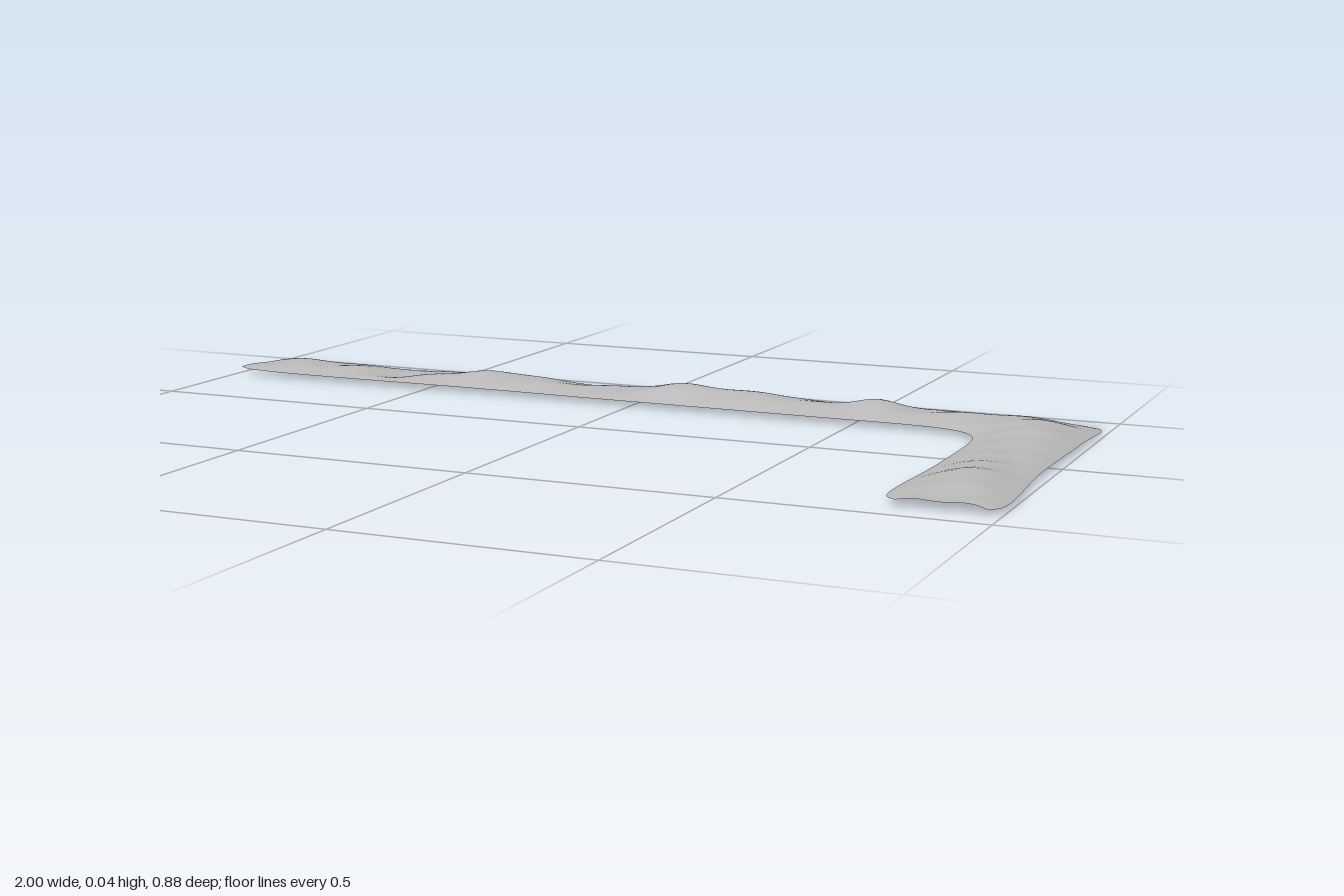
import * as THREE from 'three';

// Outline of the L: [outer x, outer z, inner x, inner z]
const OUTLINE = [
  [-0.945, -0.425, -1, -0.285], [-0.925, -0.442, -0.965, -0.262],
  [-0.75, -0.434, -0.75, -0.257], [-0.4, -0.438, -0.4, -0.262],
  [0, -0.434, 0, -0.257], [0.4, -0.432, 0.4, -0.253],
  [0.72, -0.435, 0.645, -0.25], [0.86, -0.435, 0.71, -0.238],
  [0.965, -0.431, 0.755, -0.212], [0.982, -0.41, 0.778, -0.175],
  [0.986, -0.2, 0.786, -0.12], [0.982, 0.1, 0.788, 0.1],
  [0.992, 0.41, 0.786, 0.41], [0.975, 0.436, 0.81, 0.436],
];

// Swells and hollows of the raised middle: [x, z, height, radius]
const SWELLS = [
  [-0.97, -0.35, -0.01, 0.06], [-0.61, -0.35, -0.014, 0.07],
  [-0.36, -0.35, 0.01, 0.1], [0.1, -0.35, 0.019, 0.1],
  [0.28, -0.35, 0.01, 0.07], [0.52, -0.35, 0.015, 0.06],
  [0.88, -0.25, 0.01, 0.15], [0.88, 0.24, 0.009, 0.1],
  [0.88, 0.43, -0.013, 0.07],
];

// Gentle rises and dips of the whole sheet, same format
const DIPS = [
  [-0.95, -0.35, 0.005, 0.1], [-0.1, -0.43, -0.006, 0.1],
  [0.96, -0.43, -0.009, 0.12], [0.88, 0.43, 0.004, 0.08],
];

const bumpSum = (list, x, z) => list.reduce((sum, [bx, bz, height, radius]) =>
  sum + height * Math.exp(-((x - bx) ** 2 + (z - bz) ** 2) / radius ** 2), 0);

const edgeCurve = (k) => new THREE.CatmullRomCurve3(
  OUTLINE.map((s) => new THREE.Vector3(s[k], 0, s[k + 1])));

// Lofts a crumpled, arched sheet between the outer and inner edges
function buildStrip(rows, cols) {
  const outer = edgeCurve(0), inner = edgeCurve(2);
  const positions = [], index = [];
  for (let i = 0; i <= rows; i++) {
    const u = i / rows;
    const o = outer.getPoint(u), n = inner.getPoint(u);
    for (let j = 0; j <= cols; j++) {
      const v = j / cols;
      const arch = 4 * v * (1 - v);
      const p = o.clone().lerp(n, v);
      // Notch at the left end and a ripple along the outer edge
      p.x += 0.018 * arch * Math.max(0, 1 - u * 13);
      p.z += 0.004 * (1 - v) * Math.sin(p.x * 19);
      // Arched section with swells and small dents
      const dent = 0.003 * Math.sin(p.x * 31 + p.z * 23) * Math.cos(p.z * 37 - p.x * 9);
      p.y = 0.011 + 0.002 * v + bumpSum(DIPS, p.x, p.z)
        + arch * (0.014 + bumpSum(SWELLS, p.x, p.z) + dent);
      positions.push(p.x, p.y, p.z);
      if (i < rows && j < cols) {
        const a = i * (cols + 1) + j, c = a + cols + 1;
        index.push(a, a + 1, c, c, a + 1, c + 1);
      }
    }
  }
  const geometry = new THREE.BufferGeometry();
  geometry.setAttribute('position', new THREE.Float32BufferAttribute(positions, 3));
  geometry.setIndex(index);
  geometry.computeVertexNormals();
  return geometry;
}

export function createModel() {
  const group = new THREE.Group();
  group.name = 'cornerStrip';
  const grey = new THREE.MeshStandardMaterial({ color: 0xb8b8b8, side: THREE.DoubleSide });
  grey.name = 'grey';
  const strip = new THREE.Mesh(buildStrip(260, 16), grey);
  strip.name = 'crumpledStrip';
  group.add(strip);
  return group;
}
